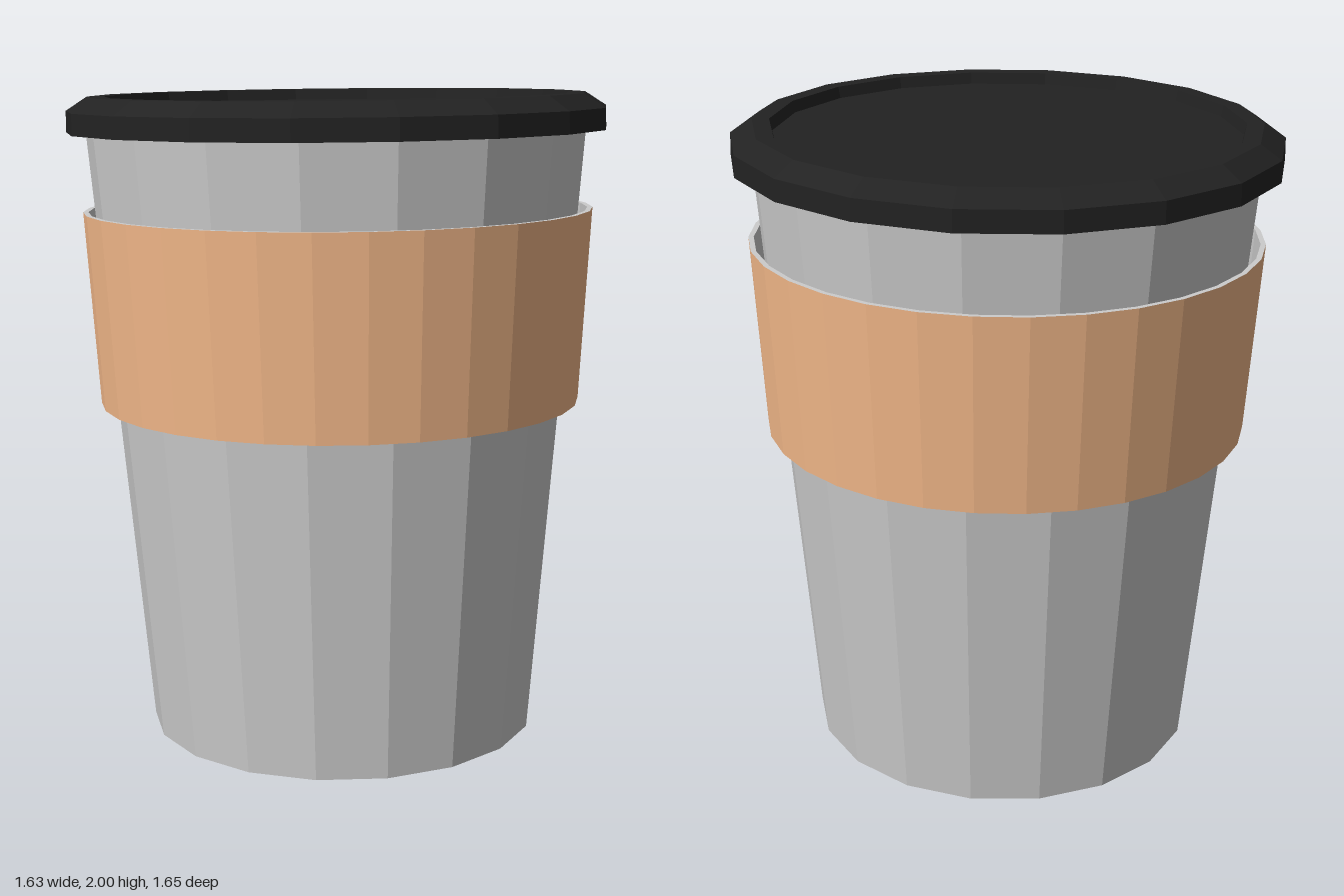
import * as THREE from 'three';

const material = (color) => new THREE.MeshStandardMaterial({ color, flatShading: true });

// Revolve a profile of [radius, height] pairs, listed counterclockwise
function turned(name, profile, sides, mat) {
  const points = profile.map(([r, y]) => new THREE.Vector2(r, y));
  const mesh = new THREE.Mesh(new THREE.LatheGeometry(points, sides), mat);
  mesh.name = name;
  return mesh;
}

export function createModel() {
  const grey = material(0xcccccc);
  const tan = material(0xf4b98a);
  const black = material(0x222222);

  // Tapered cup body with a closed base
  const body = turned('cupBody', [[0, 0], [0.607, 0], [0.768, 1.89], [0, 1.89]], 18, grey);

  // Loose sleeve: tan outside, grey rims and lining
  const sleeve = new THREE.Group();
  sleeve.name = 'sleeve';
  sleeve.add(
    turned('sleeveOuter', [[0.743, 1.035], [0.779, 1.625]], 32, tan),
    turned('sleeveLining', [[0.779, 1.625], [0.763, 1.625], [0.727, 1.035], [0.743, 1.035]], 32, grey)
  );
  sleeve.rotation.y = 0.13;

  // Lid: bevelled rim around a shallow recess, grey underneath
  const lid = new THREE.Group();
  lid.name = 'lid';
  lid.add(
    turned('lidTop', [
      [0.827, 1.864], [0.825, 1.928], [0.76, 1.97], [0.708, 1.97], [0.7, 1.935], [0, 1.935]
    ], 18, black),
    turned('lidUnderside', [[0.74, 1.864], [0.827, 1.864]], 18, grey)
  );
  lid.rotation.y = -0.015;

  // The whole cup leans back very slightly
  const cup = new THREE.Group();
  cup.name = 'cup';
  cup.add(body, sleeve, lid);
  cup.rotation.x = -0.019;
  cup.position.set(0, 0.0145, 0.037);

  const model = new THREE.Group();
  model.name = 'takeawayCup';
  model.add(cup);
  return model;
}
